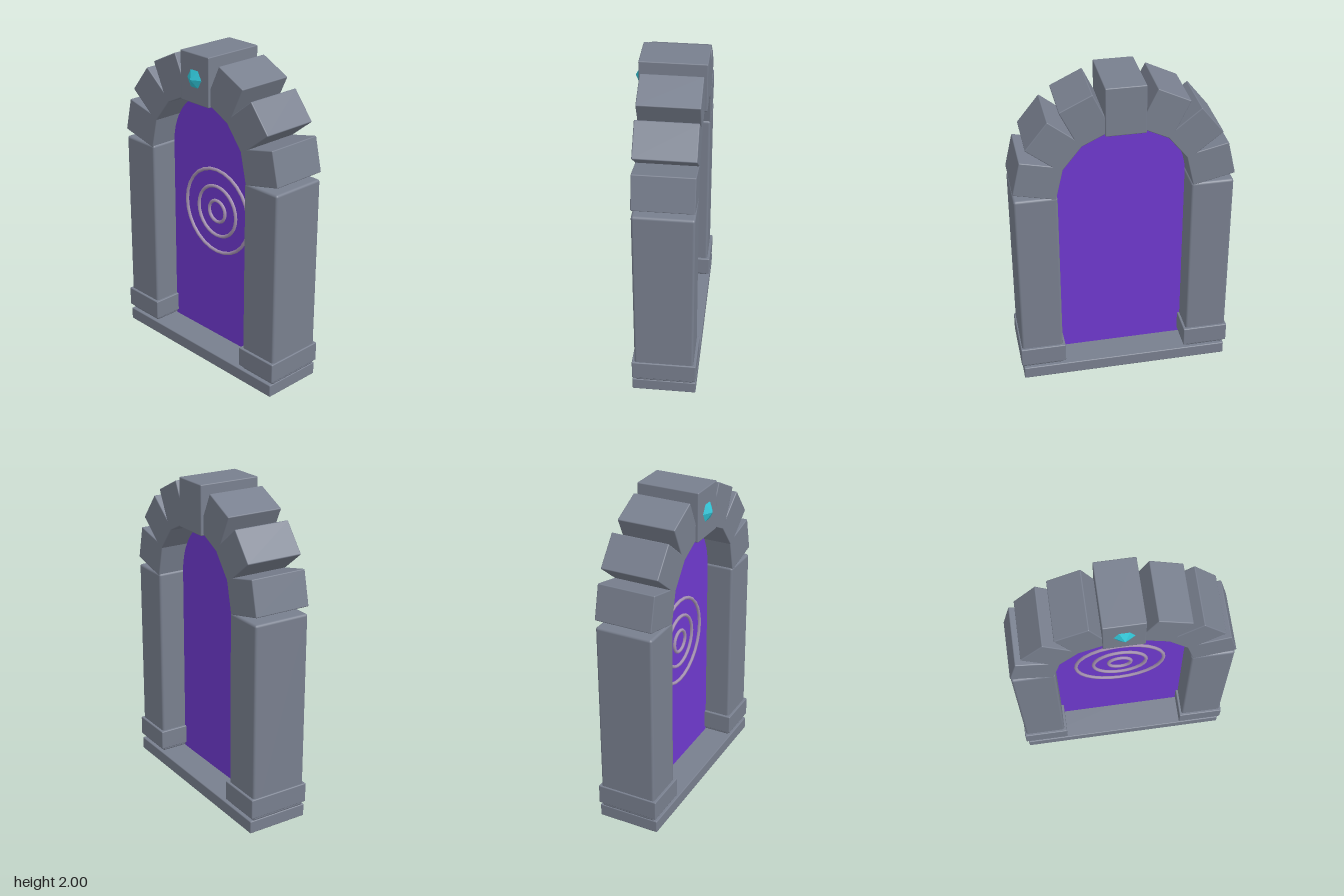
import * as THREE from 'three';
import { RoundedBoxGeometry } from 'three/addons/geometries/RoundedBoxGeometry.js';

const MID_Z = -0.016; // centre plane of the stonework
const ARCH_Y = 1.325; // centre of the arch circle

const material = (name, color, flatShading = false) => {
  const m = new THREE.MeshStandardMaterial({ color, flatShading });
  m.name = name;
  return m;
};

export function createModel() {
  const stone = material('stone', 0x787f8e);
  const violet = material('violet', 0x6f39ce);
  const mauve = material('mauve', 0xa793b4);
  const cyan = material('cyan', 0x30c4d6, true);

  const group = new THREE.Group();
  group.name = 'stonePortal';

  const add = (name, geometry, mat, x, y, z) => {
    const mesh = new THREE.Mesh(geometry, mat);
    mesh.name = name;
    mesh.position.set(x, y, z);
    group.add(mesh);
    return mesh;
  };
  const block = (name, w, h, d, x, y, bevel = 0.006) =>
    add(name, new RoundedBoxGeometry(w, h, d, 2, bevel), stone, x, y, MID_Z);

  // Threshold slab
  block('threshold', 1.31, 0.08, 0.392, 0, 0.04);

  // Pillars with their plinths
  for (const [side, s] of [['left', 1], ['right', -1]]) {
    block(side + 'Pillar', 0.26, 1.24, 0.36, s * 0.53, 0.7, 0.015);
    block(side + 'Plinth', 0.284, 0.125, 0.392, s * 0.527, 0.167);
  }

  // Arch of seven stones; the middle one is the larger keystone
  for (let i = 0; i < 7; i++) {
    if (i === 3) continue;
    const a = ((i + 0.5) * Math.PI) / 7;
    const r = 0.526;
    const b = block('archStone' + (i + 1), 0.26, 0.215, 0.36,
      r * Math.cos(a), ARCH_Y + r * Math.sin(a));
    b.rotation.z = a;
  }
  block('keystone', 0.24, 0.3, 0.392, 0, 1.85);

  // Gem: flattened six-sided bipyramid
  const gem = new THREE.SphereGeometry(0.06, 6, 2);
  gem.rotateX(Math.PI / 2);
  gem.scale(1, 1, 0.032 / 0.06);
  add('gem', gem, cyan, 0, 1.85, 0.18);

  // Round-topped portal sheet
  const outline = new THREE.Shape();
  outline.moveTo(-0.4, 0.075);
  outline.lineTo(0.4, 0.075);
  outline.lineTo(0.4, 1.31);
  outline.absarc(0, 1.31, 0.4, 0, Math.PI, false);
  outline.closePath();
  const sheet = new THREE.ExtrudeGeometry(outline, { depth: 0.02, bevelEnabled: false, curveSegments: 24 });
  add('portalSheet', sheet, violet, 0, 0, MID_Z - 0.01);

  // Concentric rings on the front of the portal
  [0.07, 0.165, 0.275].forEach((r, i) =>
    add('ring' + (i + 1), new THREE.TorusGeometry(r, 0.011, 6, 28), mauve, 0, 0.96, MID_Z + 0.016));

  return group;
}
